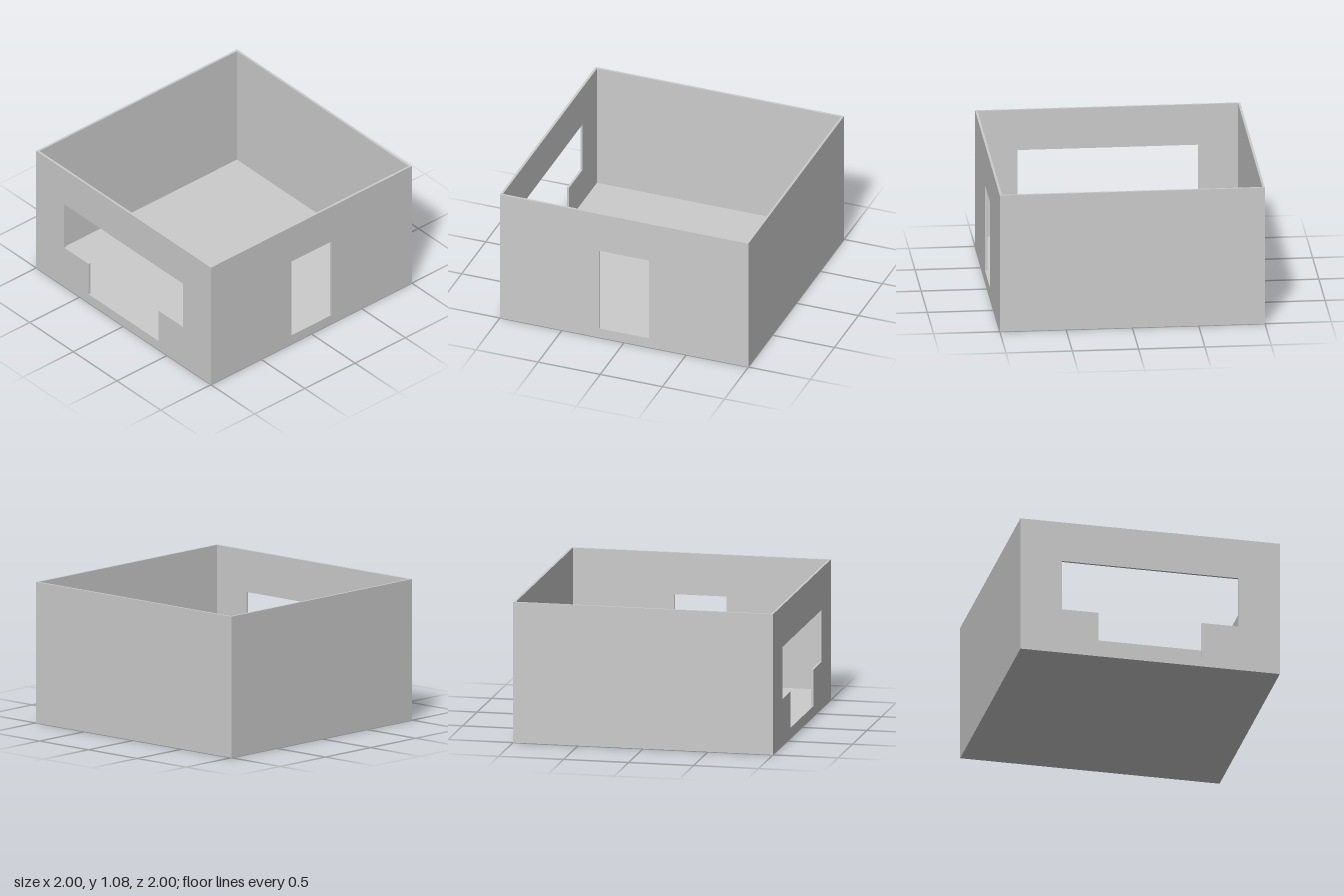
import * as THREE from 'three';

const SIZE = 2, HEIGHT = 1.08, FLOOR = 0.08, WALL = 0.018;
const HALF = SIZE / 2;
const material = new THREE.MeshStandardMaterial({ color: 0xcccccc, flatShading: true });

// Wall standing on the floor slab; notch lists the outline of an opening
// that reaches down to the floor, from its left foot to its right foot.
function makeWall(name, width, notch = []) {
  const w = width / 2;
  const outline = [[-w, FLOOR], ...notch, [w, FLOOR], [w, HEIGHT], [-w, HEIGHT]];
  const shape = new THREE.Shape(outline.map(([x, y]) => new THREE.Vector2(x, y)));
  const geometry = new THREE.ExtrudeGeometry(shape, { depth: WALL, bevelEnabled: false });
  const wall = new THREE.Mesh(geometry, material);
  wall.name = name;
  return wall;
}

export function createModel() {
  const room = new THREE.Group();
  room.name = 'room';

  // Floor slab
  const floor = new THREE.Mesh(new THREE.BoxGeometry(SIZE, FLOOR, SIZE), material);
  floor.name = 'floor';
  floor.position.y = FLOOR / 2;

  // Front wall: wide window joined to a doorway
  const front = makeWall('frontWall', SIZE, [
    [-0.4, FLOOR], [-0.4, 0.36], [-0.68, 0.36], [-0.68, 0.76],
    [0.68, 0.76], [0.68, 0.36], [0.4, 0.36], [0.4, FLOOR],
  ]);
  front.position.z = HALF - WALL;

  // Solid back wall
  const back = makeWall('backWall', SIZE);
  back.position.z = -HALF;

  // Side walls fit between front and back; the +x one has a door
  const inner = SIZE - 2 * WALL;
  const left = makeWall('leftWall', inner, [
    [-0.2, FLOOR], [-0.2, 0.76], [0.2, 0.76], [0.2, FLOOR],
  ]);
  left.rotation.y = Math.PI / 2;
  left.position.x = HALF - WALL;
  const right = makeWall('rightWall', inner);
  right.rotation.y = Math.PI / 2;
  right.position.x = -HALF;

  room.add(floor, front, back, left, right);
  return room;
}
